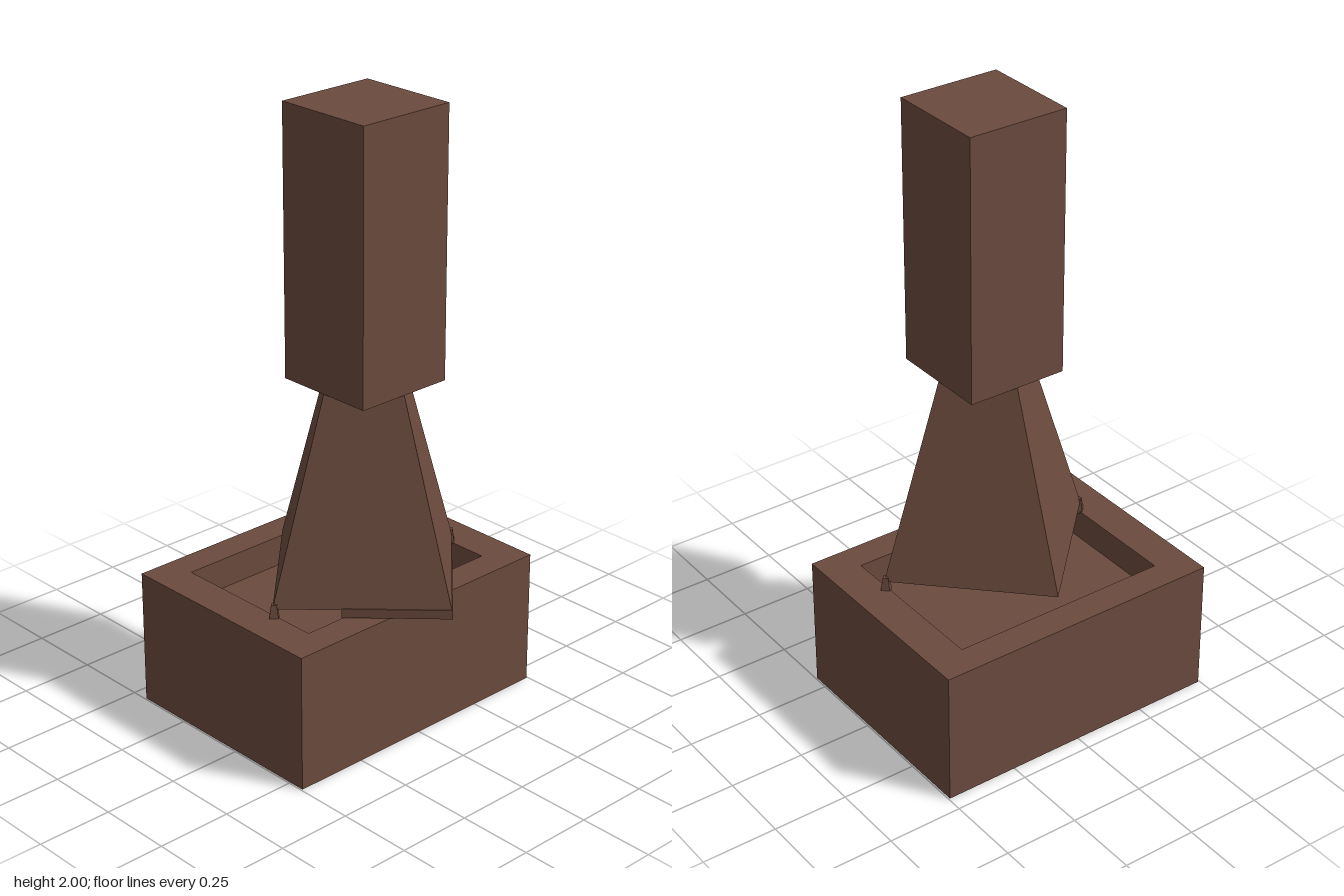
import * as THREE from 'three';

export function createModel() {
  const group = new THREE.Group();
  const material = new THREE.MeshStandardMaterial({ color: 0x6b4a3e, flatShading: true });

  const add = (name, geometry, x, y, z) => {
    const mesh = new THREE.Mesh(geometry, material);
    mesh.name = name;
    mesh.position.set(x, y, z);
    group.add(mesh);
    return mesh;
  };

  // Extrudes an outline given in (x, z) upward from y = 0
  const extrudeUp = (points, height, hole) => {
    const toPath = (list) => list.map(([x, z]) => new THREE.Vector2(x, -z));
    const shape = new THREE.Shape(toPath(points));
    if (hole) shape.holes.push(new THREE.Path(toPath(hole)));
    return new THREE.ExtrudeGeometry(shape, { depth: height, bevelEnabled: false }).rotateX(-Math.PI / 2);
  };
  const rect = (x, z0, z1) => [[-x, z1], [x, z1], [x, z0], [-x, z0]];

  const hoodZ = 0.055;
  const floorY = 0.35;

  // Hearth: solid block below, raised rim around the fire pit
  add('hearthBase', extrudeUp(rect(0.495, -0.445, 0.305), floorY), 0, 0, 0);
  add('hearthRim', extrudeUp(rect(0.495, -0.445, 0.305), 0.452 - floorY, rect(0.375, -0.345, 0.205)), 0, floorY, 0);

  // Four-sided hood, turned so its corners point along x and z
  const hoodBottom = 0.48, hoodTop = 1.13;
  add('hood', new THREE.CylinderGeometry(0.17, 0.387, hoodTop - hoodBottom, 4),
    0, (hoodBottom + hoodTop) / 2, hoodZ);

  // Front corner of the hood hangs down to the rim
  add('hoodFrontLip', extrudeUp([[0, 0.445], [0.24, 0.205], [-0.24, 0.205]], 0.03), 0, 0.455, 0);

  // Small supports under the side corners
  for (const side of [1, -1]) {
    add(side > 0 ? 'leftSupport' : 'rightSupport',
      new THREE.CylinderGeometry(0.012, 0.022, 0.05, 4), side * 0.38, 0.47, hoodZ);
  }

  // Chimney
  add('chimney', new THREE.BoxGeometry(0.342, 0.872, 0.344), 0, 1.564, hoodZ);

  return group;
}
